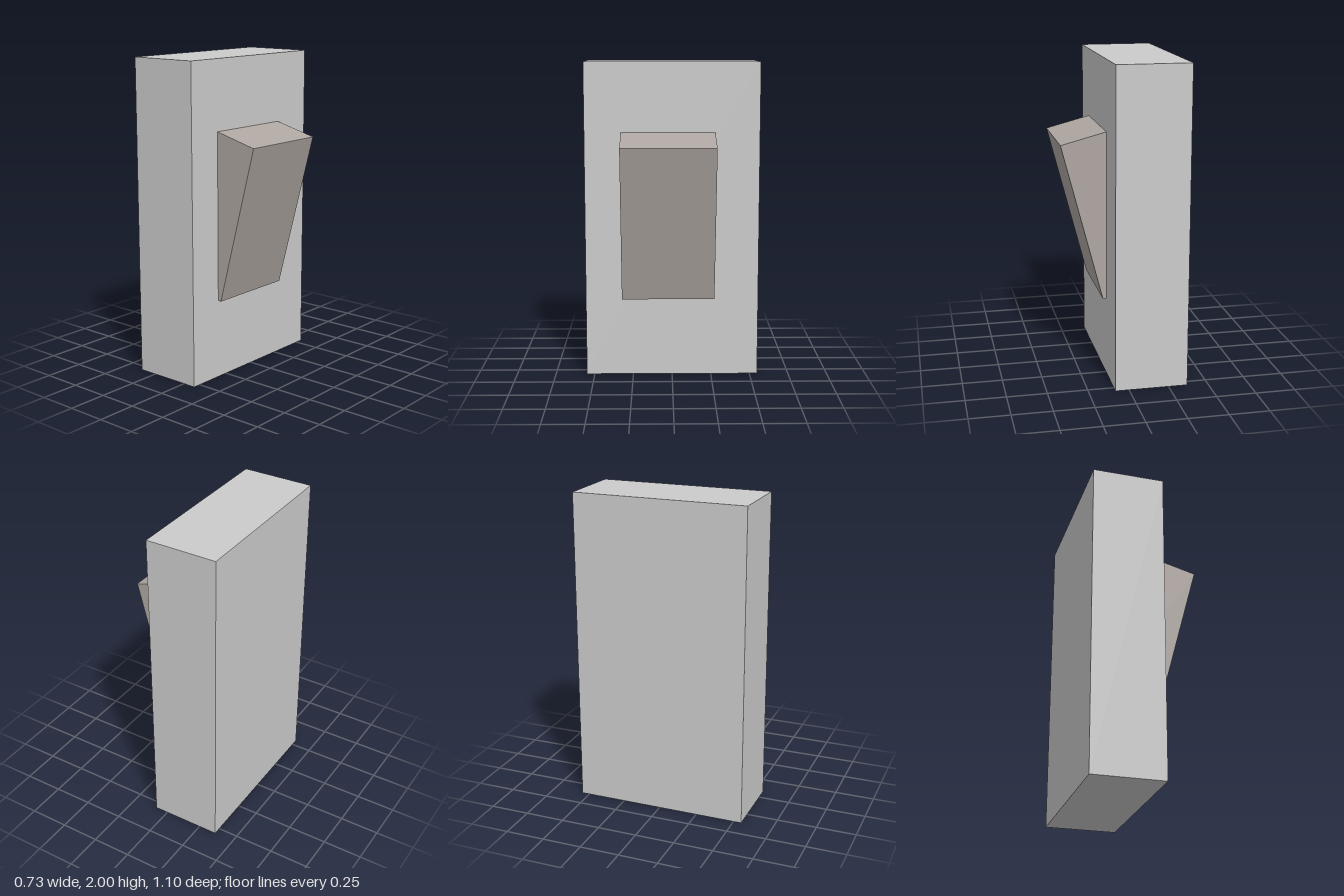
import * as THREE from 'three';

function addBox(group, name, size, position, color) {
  const mesh = new THREE.Mesh(
    new THREE.BoxGeometry(...size),
    new THREE.MeshStandardMaterial({ color })
  );
  mesh.name = name;
  mesh.position.set(...position);
  group.add(mesh);
  return mesh;
}

export function createModel() {
  const group = new THREE.Group();
  group.name = 'rockerSwitch';

  // Upright housing block
  addBox(group, 'housing', [0.455, 2, 1.1], [-0.142, 1, 0], 0xcccccc);

  // Tilted rocker, partly sunk into the housing's left face
  const rocker = addBox(group, 'rocker', [0.35, 1.023, 0.59], [0.067, 1.039, 0.025], 0xaea6a1);
  rocker.rotation.z = -0.255;

  return group;
}
